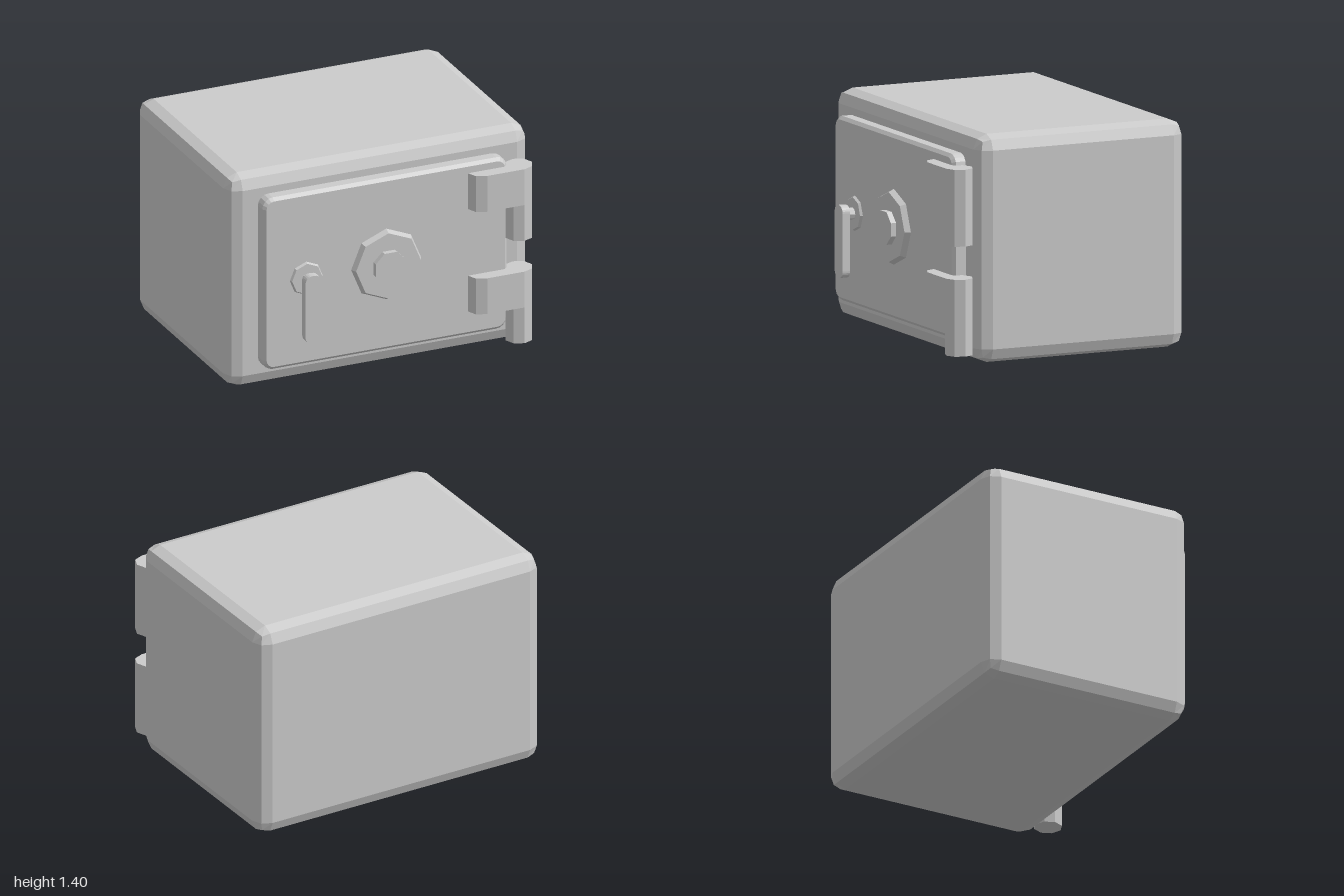
import * as THREE from 'three';
import { RoundedBoxGeometry } from 'three/addons/geometries/RoundedBoxGeometry.js';

const material = new THREE.MeshStandardMaterial({ color: 0xcccccc, flatShading: true });

function add(parent, name, geometry, x = 0, y = 0, z = 0) {
  const mesh = new THREE.Mesh(geometry, material);
  mesh.name = name;
  mesh.position.set(x, y, z);
  parent.add(mesh);
  return mesh;
}

// Rectangle with rounded corners, centred on the origin
function roundedRect(w, h, r) {
  const s = new THREE.Shape();
  const x = w / 2 - r, y = h / 2 - r, q = Math.PI / 2;
  [[x, y], [-x, y], [-x, -y], [x, -y]].forEach(([cx, cy], i) =>
    s.absarc(cx, cy, r, i * q, (i + 1) * q, false));
  return s;
}

// Eight-sided disc facing +z, its back at z = 0
function octagon(rBack, rFront, depth, turn = 0) {
  return new THREE.CylinderGeometry(rFront, rBack, depth, 8)
    .rotateY(turn).rotateX(Math.PI / 2).translate(0, 0, depth / 2);
}

// Plan outline (x, z) extruded upwards from y0 to y1
function column(points, y0, y1) {
  const shape = new THREE.Shape(points.map(([x, z]) => new THREE.Vector2(x, -z)));
  return new THREE.ExtrudeGeometry(shape, { depth: y1 - y0, bevelEnabled: false })
    .rotateX(-Math.PI / 2).translate(0, y0, 0);
}

export function createModel() {
  const safe = new THREE.Group();
  safe.name = 'safe';

  // Body with bevelled edges
  add(safe, 'body', new RoundedBoxGeometry(2, 1.4, 1.4, 1, 0.09), 0, 0.7, -0.1);

  // Door slab with a chamfered front rim
  add(safe, 'door', new THREE.ExtrudeGeometry(roundedRect(1.58, 1.09, 0.05), {
    depth: 0.09, curveSegments: 2, bevelSize: 0.02, bevelThickness: 0.02, bevelSegments: 1,
  }), 0, 0.7, 0.575);

  // Combination dial
  const dial = new THREE.Group();
  dial.name = 'dial';
  dial.position.set(0.003, 0.702, 0.68);
  add(dial, 'dialPlate', octagon(0.235, 0.215, 0.04));
  add(dial, 'dialKnob', octagon(0.108, 0.108, 0.075, Math.PI / 8));
  safe.add(dial);

  // Lever handle
  const handle = new THREE.Group();
  handle.name = 'handle';
  handle.position.set(-0.527, 0.702, 0.68);
  add(handle, 'handleBase', octagon(0.112, 0.1, 0.02));
  add(handle, 'handleStem', octagon(0.036, 0.036, 0.075));
  add(handle, 'handleLever', new THREE.ExtrudeGeometry(roundedRect(0.108, 0.445, 0.045), {
    depth: 0.05, curveSegments: 3, bevelEnabled: false,
  }), 0, -0.165, 0.065);
  safe.add(handle);

  // Hinges: a flap over the door edge and a long eight-sided knuckle
  const cx = 0.883, cz = 0.683, r = 0.087;
  const ring = [...Array(8)].map((_, i) =>
    [cx + r * Math.cos(i * Math.PI / 4), cz + r * Math.sin(i * Math.PI / 4)]);
  const flap = [[0.545, 0.66], [0.545, 0.683], [0.57, 0.745], [0.635, 0.77], [cx, 0.77], [cx, 0.66]];
  for (const [name, y] of [['upperHinge', 0.73], ['lowerHinge', 0.055]]) {
    const hinge = new THREE.Group();
    hinge.name = name;
    hinge.position.y = y;
    add(hinge, 'hingeKnuckle', column([...ring].reverse(), 0, 0.472));
    add(hinge, 'hingeFlap', column(flap, 0.236, 0.472));
    safe.add(hinge);
  }
  return safe;
}
